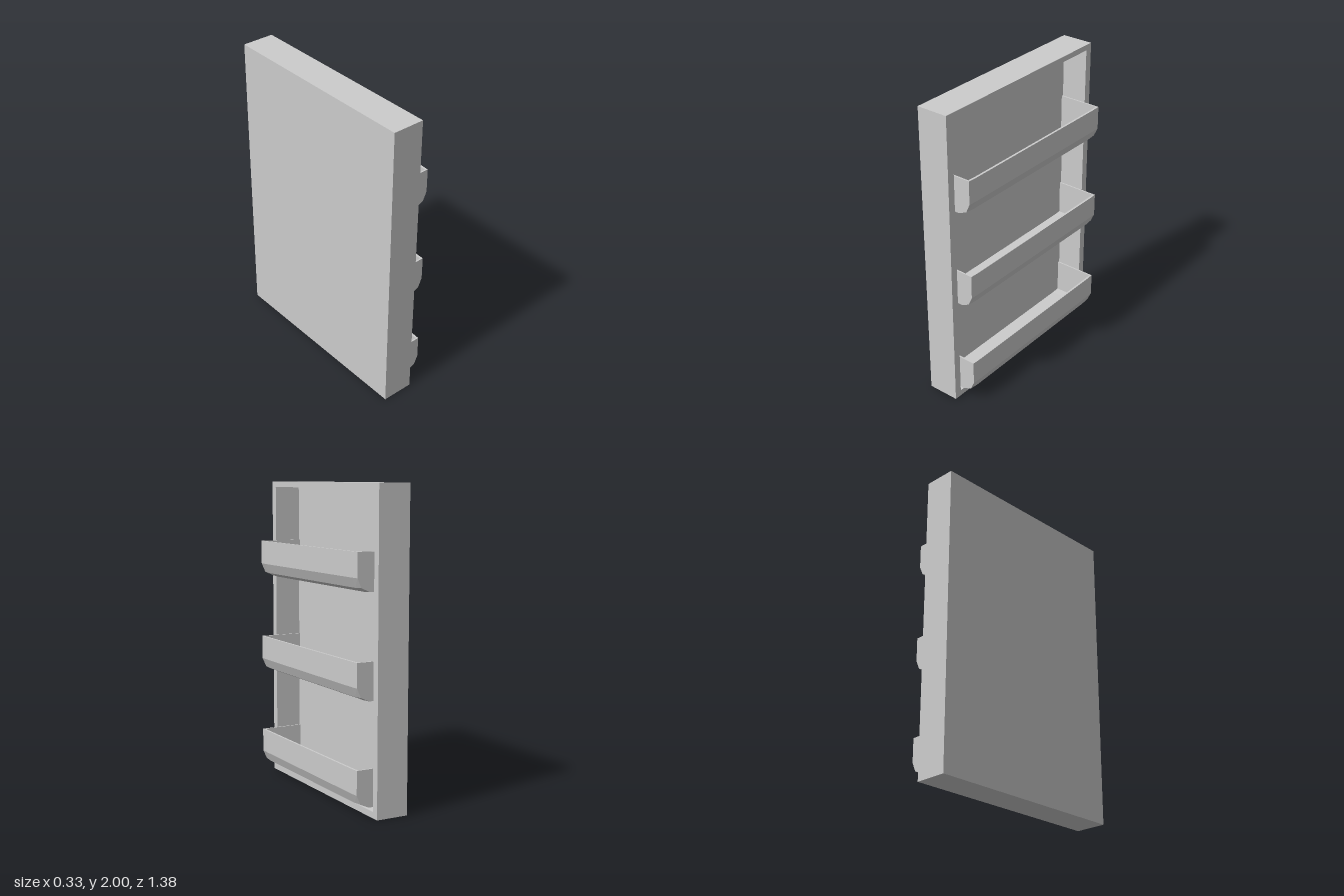
import * as THREE from 'three';

const material = new THREE.MeshStandardMaterial({ color: 0xcccccc, flatShading: true });

const BACK = -0.165, FRONT = 0.047, RECESS = -0.128; // door depth along x
const HALF = 0.692;                                  // door half width along z
const BIN_HALF = 0.64;

function rectPoints(x0, y0, x1, y1) {
  return [[x0, y0], [x1, y0], [x1, y1], [x0, y1]].map(p => new THREE.Vector2(...p));
}

function addMesh(parent, name, geometry) {
  const mesh = new THREE.Mesh(geometry, material);
  mesh.name = name;
  parent.add(mesh);
  return mesh;
}

// Outer bin profile (x depth, y height above the bin's underside), back to front lip
const outer = [[RECESS, 0], [0.075, 0.002], [0.135, 0.028], [0.161, 0.09], [0.161, 0.243]];
// Inner face of the bin, front lip to back
const inner = [[0.147, 0.243], [0.147, 0.093], [0.127, 0.042], [0.07, 0.014], [RECESS, 0.012]];

const toShape = pts => new THREE.Shape(pts.map(p => new THREE.Vector2(...p)));

// Extrude along z, pulling the outermost ends in a touch for a softly bowed front
function sweep(shape, z0, z1, steps) {
  const geo = new THREE.ExtrudeGeometry(shape, { depth: z1 - z0, steps, bevelEnabled: false });
  geo.translate(0, 0, z0);
  const pos = geo.attributes.position;
  for (let i = 0; i < pos.count; i++) {
    if (Math.abs(pos.getZ(i)) < BIN_HALF - 0.03) continue;
    if (pos.getX(i) > 0.13) pos.setX(i, pos.getX(i) - 0.003);
    if (pos.getY(i) < 0.03) pos.setY(i, pos.getY(i) + 0.004);
  }
  geo.computeVertexNormals();
  return geo;
}

function createBin() {
  const bin = new THREE.Group();
  // Trough: floor, chamfered lower edge and front lip
  addMesh(bin, 'binTrough', sweep(toShape([...outer, ...inner]), -BIN_HALF, BIN_HALF, 20));
  // End walls close the trough
  const endShape = toShape([...outer, [RECESS, 0.243]]);
  for (const [name, z] of [['binLeftEnd', BIN_HALF - 0.01], ['binRightEnd', -BIN_HALF]]) {
    addMesh(bin, name, sweep(endShape, z, z + 0.01, 1));
  }
  return bin;
}

export function createModel() {
  const model = new THREE.Group();
  model.name = 'shelvedDoor';

  // Raised rim around the recess
  const rim = new THREE.Shape(rectPoints(-HALF, 0, HALF, 2));
  rim.holes.push(new THREE.Path(rectPoints(-0.643, 0.04, 0.643, 1.964).reverse()));
  const rimGeo = new THREE.ExtrudeGeometry(rim, { depth: FRONT - RECESS, bevelEnabled: false });
  rimGeo.rotateY(Math.PI / 2).translate(RECESS, 0, 0);
  addMesh(model, 'doorRim', rimGeo);

  // Back panel
  const panel = addMesh(model, 'doorPanel', new THREE.BoxGeometry(RECESS - BACK, 2, HALF * 2));
  panel.position.set((RECESS + BACK) / 2, 1, 0);

  // Three storage bins
  ['lowerBin', 'middleBin', 'upperBin'].forEach((name, i) => {
    const bin = createBin();
    bin.name = name;
    bin.position.y = 0.064 + i * 0.649;
    model.add(bin);
  });

  return model;
}
